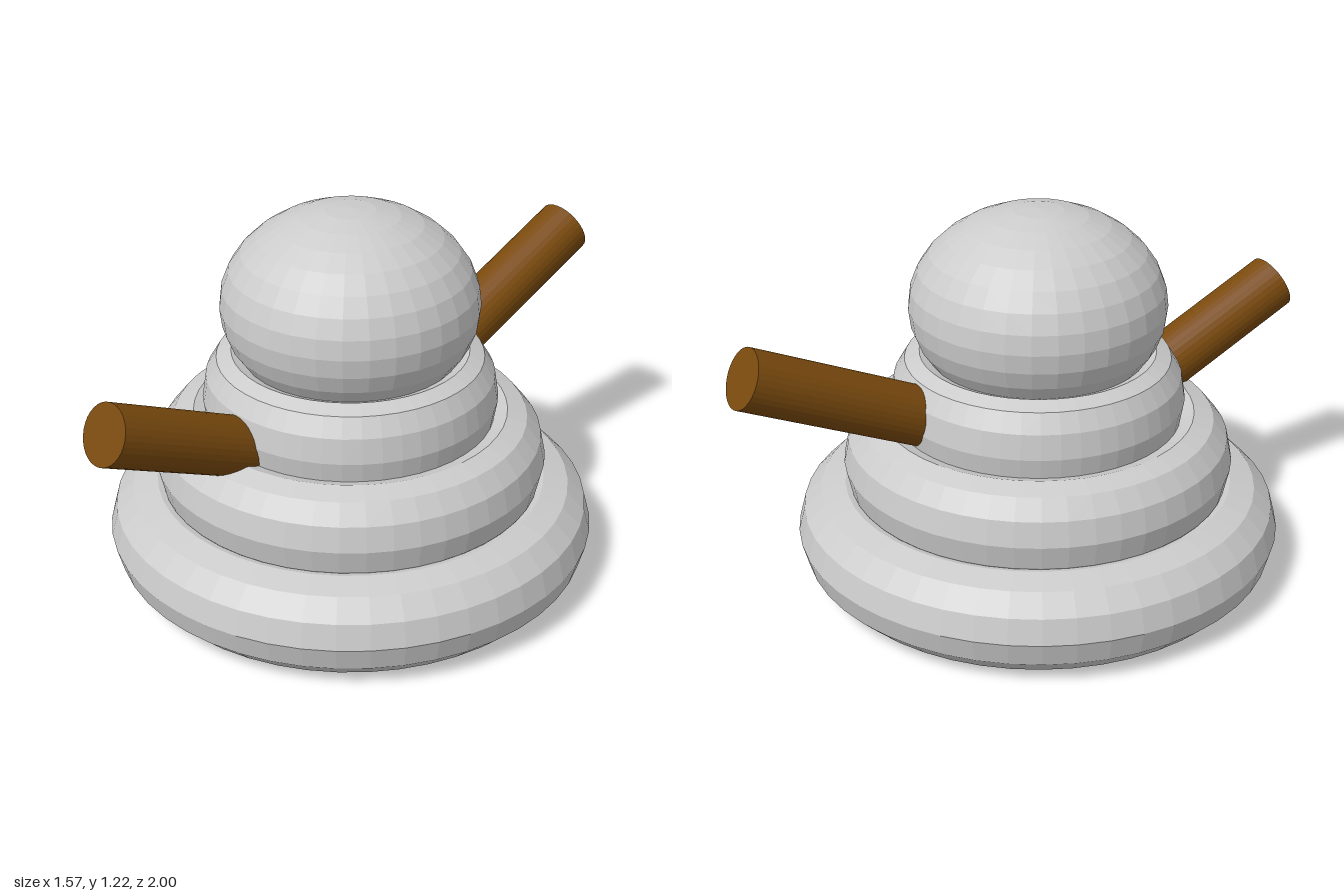
import * as THREE from 'three';

const grey = new THREE.MeshStandardMaterial({ color: 0xcccccc, flatShading: true });
const brown = new THREE.MeshStandardMaterial({ color: 0x7a4a0e, flatShading: true });
const AXIS_Z = 0.03; // the stacked body sits slightly forward

function addMesh(parent, name, geometry, material) {
  const mesh = new THREE.Mesh(geometry, material);
  mesh.name = name;
  parent.add(mesh);
  return mesh;
}

export function createModel() {
  const model = new THREE.Group();
  model.name = 'stackedFigure';

  // Three stacked rings, each narrower but equally tall: [name, major radius, centre height]
  const tubeHeight = 0.157;
  const rings = [
    ['bottomRing', 0.628, 0.158],
    ['middleRing', 0.502, 0.393],
    ['topRing', 0.376, 0.6],
  ];
  for (const [name, radius, y] of rings) {
    const tube = radius / 4;
    const geometry = new THREE.TorusGeometry(radius, tube, 12, 48);
    geometry.rotateX(Math.PI / 2);
    geometry.scale(1, tubeHeight / tube, 1);
    addMesh(model, name, geometry, grey).position.set(0, y, AXIS_Z);
  }

  // Flattened ball head
  const ball = new THREE.SphereGeometry(0.407, 32, 16);
  ball.scale(1, 0.314 / 0.407, 1);
  addMesh(model, 'head', ball, grey).position.set(0, 0.91, AXIS_Z);

  // Stick arms rising outward to front and back: [name, direction, tip height]
  const length = 0.628;
  const rise = THREE.MathUtils.degToRad(25);
  for (const [name, side, tipY] of [['frontArm', 1, 0.79], ['backArm', -1, 0.887]]) {
    const arm = addMesh(model, name, new THREE.CylinderGeometry(0.094, 0.094, length, 32), brown);
    arm.rotation.x = side * (Math.PI / 2 - rise);
    arm.position.set(
      0,
      tipY - (length / 2) * Math.sin(rise),
      side * (0.96 - (length / 2) * Math.cos(rise)),
    );
  }

  return model;
}
